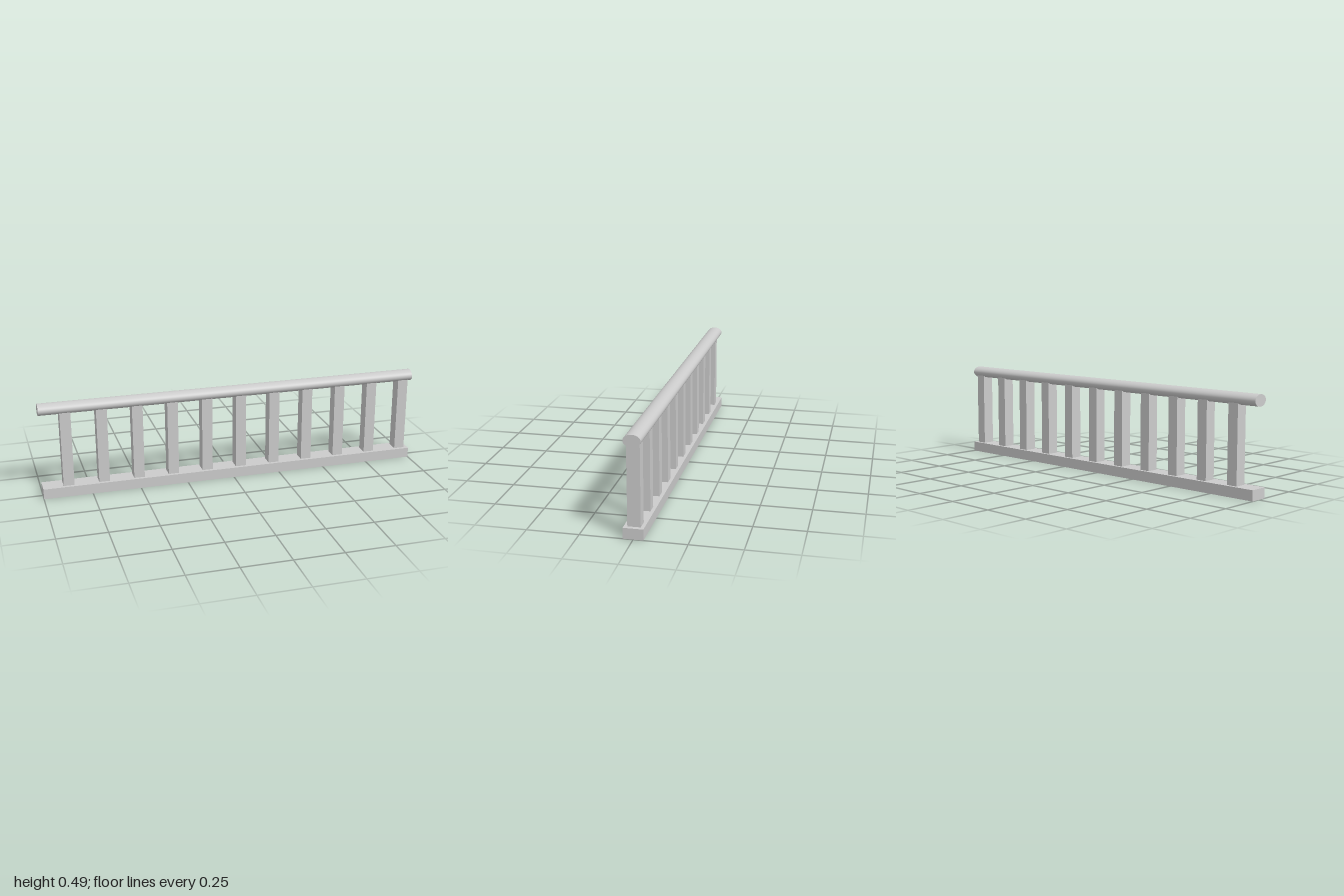
import * as THREE from 'three';

export function createModel() {
  const group = new THREE.Group();
  const material = new THREE.MeshStandardMaterial({ color: 0xcccccc });

  const add = (name, geometry, x, y) => {
    const mesh = new THREE.Mesh(geometry, material);
    mesh.name = name;
    mesh.position.set(x, y, 0);
    group.add(mesh);
  };

  // Bottom rail
  add('bottomRail', new THREE.BoxGeometry(2, 0.053, 0.095), 0, 0.0265);

  // Oval handrail: a cylinder laid along x and squashed in height
  const rail = new THREE.CylinderGeometry(1, 1, 2, 48);
  rail.rotateZ(Math.PI / 2).scale(1, 0.029, 0.041);
  add('handrail', rail, 0, 0.465);

  // Evenly spaced square balusters, set slightly toward the left end
  const bottom = 0.053, top = 0.46;
  const baluster = new THREE.BoxGeometry(0.055, top - bottom, 0.062);
  for (let i = 0; i < 11; i++) {
    add(`baluster${i + 1}`, baluster, -0.868 + i * 0.182, (bottom + top) / 2);
  }

  return group;
}
